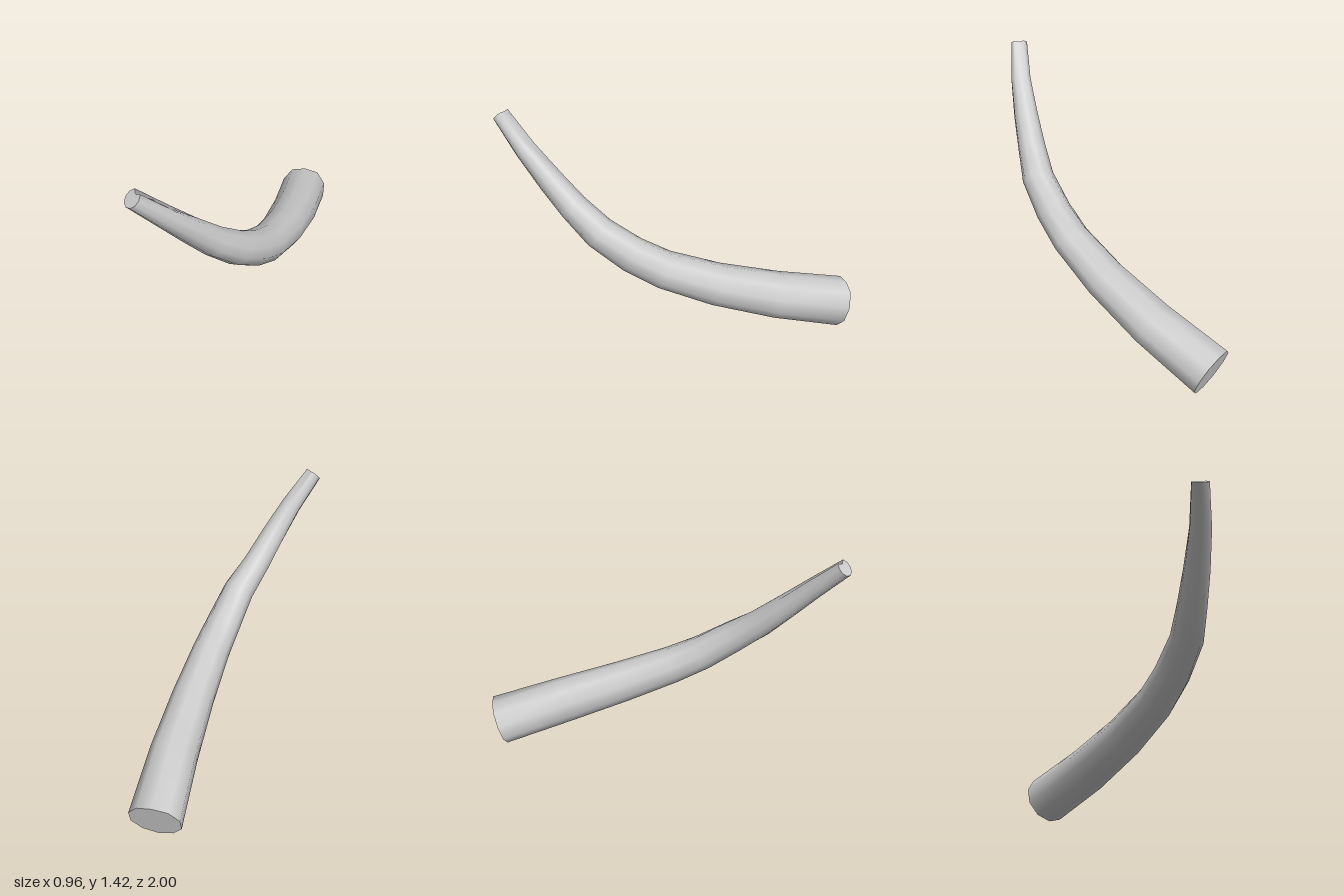
import * as THREE from 'three';

const SIDES = 10;

// Stations from root to tip: centre x, y, z, radius, groove factor on the upper side
const STATIONS = [
  [0.325, 0.152, -0.96, 0.158, 0.93],
  [0.28, 0.265, -0.54, 0.147, 1],
  [0.215, 0.385, -0.16, 0.132, 1],
  [0.14, 0.51, 0.15, 0.118, 1],
  [0.075, 0.615, 0.33, 0.11, 1],
  [-0.005, 0.755, 0.505, 0.1, 1],
  [-0.11, 0.895, 0.63, 0.087, 1],
  [-0.2, 1.04, 0.735, 0.077, 0.93],
  [-0.31, 1.21, 0.85, 0.064, 0.75],
  [-0.442, 1.388, 0.955, 0.052, 0.5],
];

// One cross-section ring, square to the centre line
function makeRing(index) {
  const at = (i) => new THREE.Vector3(...STATIONS[THREE.MathUtils.clamp(i, 0, STATIONS.length - 1)].slice(0, 3));
  const tangent = at(index + 1).sub(at(index - 1)).normalize();
  const side = new THREE.Vector3(0, 1, 0).cross(tangent).normalize();
  const up = tangent.clone().cross(side);
  const [, , , radius, groove] = STATIONS[index];
  return Array.from({ length: SIDES }, (_, j) => {
    const a = ((j + 0.5) / SIDES) * Math.PI * 2;
    const r = j === 2 ? radius * groove : radius; // corner 2 is the upper side
    return at(index).addScaledVector(side, Math.cos(a) * r).addScaledVector(up, Math.sin(a) * r);
  });
}

function buildGeometry(points, indices) {
  const geometry = new THREE.BufferGeometry().setFromPoints(points);
  geometry.setIndex(indices);
  geometry.computeVertexNormals();
  return geometry;
}

// Flat end face, fanned from its centre
function makeCap(ring, centre, reverse) {
  const indices = [];
  for (let j = 0; j < SIDES; j++) {
    const k = (j + 1) % SIDES;
    indices.push(SIDES, reverse ? k : j, reverse ? j : k);
  }
  return buildGeometry([...ring, centre], indices);
}

export function createModel() {
  const group = new THREE.Group();
  group.name = 'tusk';
  const material = new THREE.MeshStandardMaterial({ color: 0xcccccc });
  const add = (name, geometry) => {
    const mesh = new THREE.Mesh(geometry, material);
    mesh.name = name;
    group.add(mesh);
  };

  // Smooth curved, tapering body
  const rings = STATIONS.map((_, i) => makeRing(i));
  const indices = [];
  for (let i = 0; i < rings.length - 1; i++) {
    for (let j = 0; j < SIDES; j++) {
      const k = (j + 1) % SIDES;
      const a = i * SIDES + j, b = i * SIDES + k;
      indices.push(a, b, a + SIDES, b, b + SIDES, a + SIDES);
    }
  }
  add('tuskBody', buildGeometry(rings.flat(), indices));

  // Ends
  const last = STATIONS.length - 1;
  add('rootFace', makeCap(rings[0], new THREE.Vector3(...STATIONS[0].slice(0, 3)), true));
  add('tipFace', makeCap(rings[last], new THREE.Vector3(...STATIONS[last].slice(0, 3)), false));

  return group;
}
